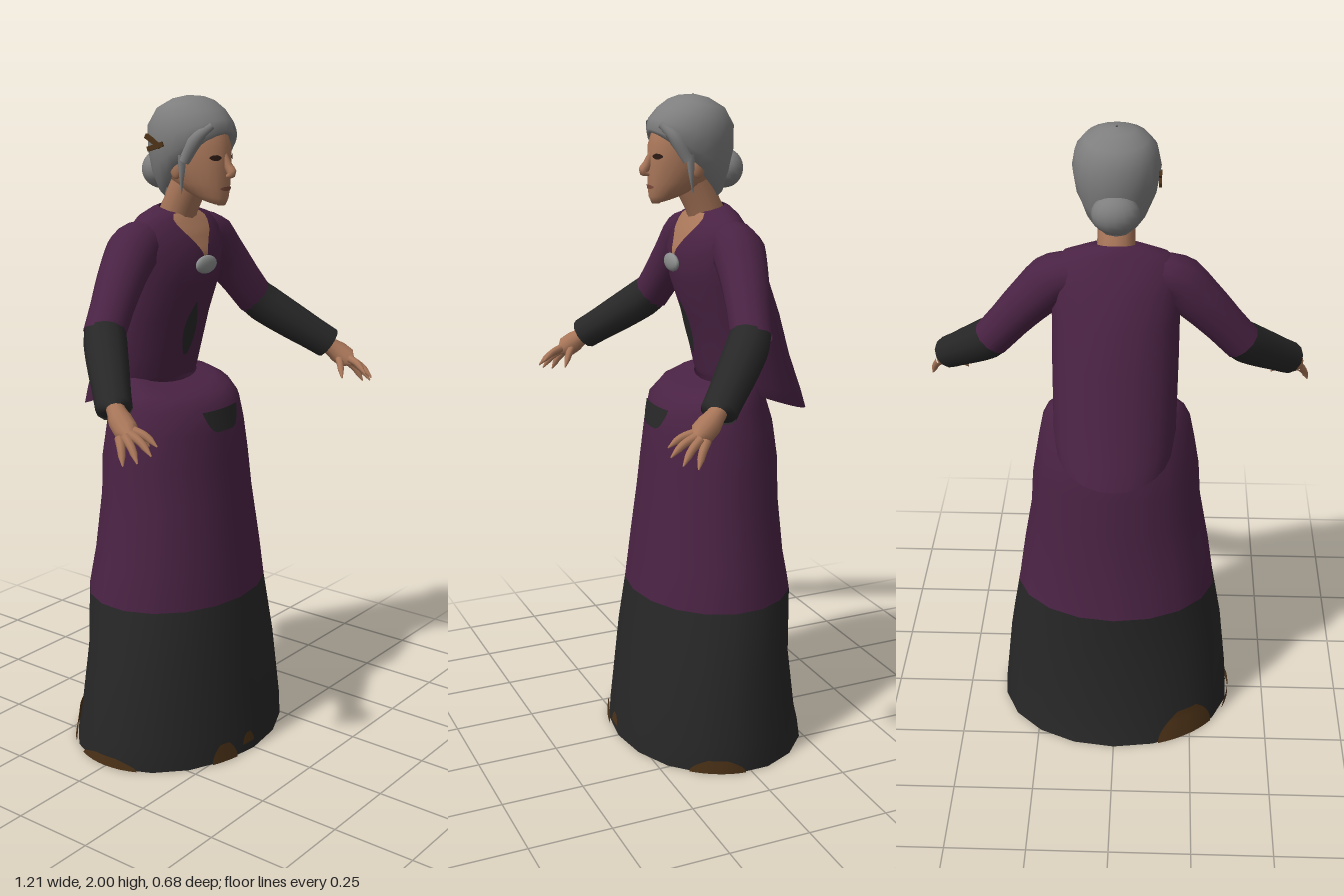
import * as THREE from 'three';

const flat = (name, color, side = THREE.FrontSide) => {
  const m = new THREE.MeshStandardMaterial({ color, side });
  m.name = name;
  return m;
};
const V = (p) => new THREE.Vector3(...p);
const { lerp } = THREE.MathUtils;

// Each ring is [front y, back y, front z, back z, half width]
const ringPoint = ([yF, yB, zF, zB, rx], a, out = 0) => {
  const c = Math.cos(a);
  return [
    (rx + out) * Math.sin(a),
    lerp(yB, yF, (1 + c) / 2),
    (zF + zB) / 2 + ((zF - zB) / 2 + out) * c,
  ];
};

// Grid of points turned into a smooth surface
function gridGeometry(rows, wrap) {
  const n = rows[0].length, idx = [];
  for (let i = 0; i < rows.length - 1; i++) {
    for (let j = 0; j < (wrap ? n : n - 1); j++) {
      const k = (j + 1) % n;
      const a = i * n + j, b = i * n + k, c = b + n, d = a + n;
      idx.push(a, b, c, a, c, d);
    }
  }
  const g = new THREE.BufferGeometry();
  g.setAttribute('position', new THREE.Float32BufferAttribute(rows.flat(2), 3));
  g.setIndex(idx);
  g.computeVertexNormals();
  return g;
}

const loft = (rings, segs) => gridGeometry(rings.map((r) =>
  Array.from({ length: segs }, (_, j) => ringPoint(r, (j / segs) * Math.PI * 2))), true);

// Point on a lofted surface at angle a and height y, pushed outwards
function onSurface(rings, a, y, out) {
  let i = 0;
  while (i < rings.length - 2 && ringPoint(rings[i + 1], a)[1] < y) i++;
  const p = ringPoint(rings[i], a, out), q = ringPoint(rings[i + 1], a, out);
  const t = (y - p[1]) / (q[1] - p[1]);
  return p.map((v, k) => lerp(v, q[k], t));
}

// Thin painted patch: angular half width depends on height fraction v
function patch(rings, angle, y0, y1, half, out = 0.005) {
  const rows = [];
  for (let i = 0; i <= 10; i++) {
    const v = i / 10, row = [];
    for (let j = -4; j <= 4; j++) {
      row.push(onSurface(rings, angle + (j / 4) * half(v), lerp(y0, y1, v), out));
    }
    rows.push(row);
  }
  return gridGeometry(rows, false);
}

// Tapered tube through points
function limb(points, radii, segs = 12, steps = 16) {
  const curve = new THREE.CatmullRomCurve3(points.map(V));
  const g = new THREE.TubeGeometry(curve, steps, 1, segs);
  const pos = g.attributes.position, nor = g.attributes.normal;
  for (let i = 0; i < pos.count; i++) {
    const t = Math.floor(i / (segs + 1)) / steps;
    const f = t * (radii.length - 1), k = Math.min(Math.floor(f), radii.length - 2);
    const r = lerp(radii[k], radii[k + 1], f - k);
    const c = curve.getPointAt(t);
    pos.setXYZ(i, c.x + nor.getX(i) * r, c.y + nor.getY(i) * r, c.z + nor.getZ(i) * r);
  }
  return g;
}

export function createModel() {
  const purple = flat('purpleCloth', 0x4a2344, THREE.DoubleSide);
  const dark = flat('darkCloth', 0x272727, THREE.DoubleSide);
  const skin = flat('skin', 0xa87659);
  const chestSkin = flat('chestSkin', 0xa87659, THREE.DoubleSide);
  const grey = flat('greyHair', 0x7e7e7e, THREE.DoubleSide);
  const silver = flat('silver', 0x8a8d8b);
  const brown = flat('brownLeather', 0x4c3217, THREE.DoubleSide);
  const lip = flat('lips', 0x7c4a3b);
  const eye = flat('eyes', 0x2c1a14);

  const model = new THREE.Group();
  const add = (name, geo, mat, parent = model) => {
    const m = new THREE.Mesh(geo, mat);
    m.name = name;
    parent.add(m);
    return m;
  };
  const blob = (name, mat, pos, size, parent = model) => {
    const m = add(name, new THREE.SphereGeometry(1, 16, 12), mat, parent);
    m.position.set(...pos);
    m.scale.set(...size);
    return m;
  };

  // Skirt with a dark lower band
  const hem = [
    [0, 0, 0.29, -0.305, 0.378],
    [0.08, 0.08, 0.283, -0.285, 0.376],
    [0.3, 0.3, 0.257, -0.258, 0.352],
    [0.495, 0.5, 0.232, -0.268, 0.318],
  ];
  const skirt = [
    hem[3],
    [0.62, 0.62, 0.216, -0.245, 0.3],
    [0.8, 0.8, 0.193, -0.23, 0.268],
    [0.92, 0.92, 0.178, -0.228, 0.26],
    [1.02, 1.02, 0.166, -0.215, 0.243],
    [1.09, 1.1, 0.15, -0.19, 0.228],
    [1.125, 1.16, 0.11, -0.165, 0.208],
    [1.14, 1.185, 0.06, -0.14, 0.18],
    [1.15, 1.2, 0.0, -0.12, 0.13],
  ];
  add('skirtHem', loft(hem, 18), dark);
  add('skirt', loft(skirt, 18), purple);
  add('skirtEmblem', patch(skirt, 0, 1.02, 1.085, (v) => 0.15 + 0.22 * Math.sqrt(v)), dark);

  // Worn brown patches on the hem: angle, bottom, top, half width
  [[-0.35, 0.002, 0.06, 0.13], [-0.08, 0.03, 0.065, 0.07], [-1.55, 0.002, 0.035, 0.36],
    [-2.45, 0.002, 0.1, 0.3], [1.2, 0.002, 0.045, 0.28]].forEach(([a, y0, y1, w]) =>
    add('hemPatch', patch(hem, a, y0, y1, (v) => w * (1 - 0.65 * v * v)), brown));

  // Boots in a walking stance
  [[-0.11, 0.13], [0.15, -0.12]].forEach(([x, z]) => {
    blob('boot', brown, [x, 0.042, z], [0.045, 0.04, 0.12]);
    add('bootShaft', limb([[x, 0.04, z - 0.05], [x, 0.2, z - 0.06]], [0.042, 0.045]), brown);
  });

  // Jacket with a long flared back
  const jacket = [
    [1.165, 1.035, 0.0, -0.342, 0.172],
    [1.18, 1.1, 0.005, -0.32, 0.18],
    [1.25, 1.22, 0.02, -0.275, 0.182],
    [1.35, 1.35, 0.045, -0.238, 0.184],
    [1.46, 1.47, 0.082, -0.195, 0.185],
    [1.55, 1.56, 0.085, -0.158, 0.193],
    [1.61, 1.62, 0.058, -0.12, 0.188],
    [1.645, 1.66, 0.035, -0.095, 0.15],
    [1.665, 1.68, 0.02, -0.08, 0.085],
    [1.665, 1.685, 0.01, -0.07, 0.055],
  ];
  add('jacket', loft(jacket, 24), purple);
  add('neckline', patch(jacket, 0, 1.53, 1.663, (v) => 0.03 + 0.62 * v ** 1.6), chestSkin);
  add('jacketEmblem', patch(jacket, -0.06, 1.235, 1.4,
    (v) => 0.15 * Math.sin(Math.PI * Math.min(0.98, v * 0.88 + 0.1))), dark);
  blob('brooch', silver, [-0.003, 1.515, 0.094], [0.048, 0.027, 0.014]);

  // Arms, mirrored
  for (const s of [1, -1]) {
    const arm = new THREE.Group();
    arm.name = s > 0 ? 'leftArm' : 'rightArm';
    arm.scale.x = s;
    model.add(arm);
    add('sleeve', limb([[0.1, 1.585, -0.04], [0.165, 1.575, -0.038], [0.235, 1.51, -0.028], [0.37, 1.35, 0.01]],
      [0.06, 0.078, 0.07, 0.063, 0.06]), purple, arm);
    add('cuff', limb([[0.35, 1.372, 0.0], [0.385, 1.335, 0.03], [0.53, 1.2, 0.185], [0.531, 1.199, 0.186]],
      [0.058, 0.062, 0.06, 0.057, 0.053, 0.051]), dark, arm);
    add('cuffEnd', limb([[0.528, 1.202, 0.183], [0.531, 1.199, 0.186]], [0.05, 0.001]), dark, arm);
    add('palm', limb([[0.515, 1.21, 0.17], [0.54, 1.175, 0.215], [0.552, 1.15, 0.25], [0.56, 1.135, 0.272]],
      [0.025, 0.027, 0.034, 0.034, 0.004]), skin, arm);
    // Four fingers and a thumb: base, tip
    [[[0.572, 1.138, 0.24], [0.604, 1.072, 0.278]], [[0.567, 1.143, 0.255], [0.588, 1.082, 0.315]],
      [[0.555, 1.148, 0.262], [0.558, 1.1, 0.338]], [[0.543, 1.155, 0.262], [0.526, 1.118, 0.332]],
      [[0.533, 1.165, 0.225], [0.486, 1.1, 0.272]]].forEach(([a, b]) => {
      const mid = a.map((v, k) => (v + b[k]) / 2 + (k === 1 ? 0.008 : 0));
      add('finger', limb([a, mid, b], [0.014, 0.012, 0.01, 0.002], 8, 9), skin, arm);
    });
  }

  // Neck and head
  add('neck', limb([[0, 1.58, -0.04], [0, 1.66, -0.015], [0, 1.78, 0.045]], [0.062, 0.054, 0.054]), skin);
  const head = [
    [1.69, 1.72, 0.135, 0.09, 0.004],
    [1.692, 1.725, 0.155, 0.04, 0.034],
    [1.712, 1.74, 0.164, 0.0, 0.05],
    [1.75, 1.765, 0.165, -0.03, 0.068],
    [1.8, 1.8, 0.166, -0.05, 0.079],
    [1.86, 1.86, 0.162, -0.06, 0.086],
    [1.92, 1.92, 0.142, -0.06, 0.08],
    [1.965, 1.965, 0.09, -0.03, 0.05],
  ];
  add('head', loft(head, 24), skin);
  add('nose', limb([[0, 1.84, 0.155], [0, 1.805, 0.17], [0, 1.785, 0.182], [0, 1.775, 0.162]],
    [0.008, 0.012, 0.015, 0.004], 10), skin);
  add('mouth', patch(head, 0, 1.735, 1.747, (v) => 0.4 * Math.sin(Math.PI * (0.15 + 0.7 * v)), 0.003), lip);
  for (const s of [1, -1]) {
    add('eye', patch(head, s * 0.48, 1.822, 1.838, (v) => 0.2 * Math.sin(Math.PI * (0.1 + 0.8 * v)), 0.003), eye);
    blob('ear', skin, [s * 0.085, 1.8, 0.045], [0.012, 0.033, 0.02]);
  }

  // Hair cap, bun and loose strands
  add('hair', loft([
    [1.895, 1.7, 0.14, -0.045, 0.08],
    [1.895, 1.715, 0.155, -0.06, 0.1],
    [1.905, 1.77, 0.164, -0.08, 0.117],
    [1.935, 1.84, 0.156, -0.093, 0.125],
    [1.965, 1.91, 0.128, -0.095, 0.116],
    [1.988, 1.96, 0.095, -0.068, 0.09],
    [1.998, 1.99, 0.065, -0.02, 0.05],
    [2.0, 2.0, 0.03, 0.02, 0.004],
  ], 20), grey);
  blob('bun', grey, [0, 1.785, -0.075], [0.068, 0.058, 0.055]);
  for (const s of [1, -1]) {
    add('templeHair', limb([[s * 0.045, 1.92, 0.142], [s * 0.08, 1.885, 0.115], [s * 0.092, 1.82, 0.08]],
      [0.012, 0.022, 0.016]), grey);
    add('strand', limb([[s * 0.095, 1.84, 0.075], [s * 0.09, 1.78, 0.07], [s * 0.078, 1.725, 0.06]],
      [0.014, 0.008, 0.001], 6), grey);
  }

  // Hair comb on the right side
  [[1.875, -0.01, 0.5], [1.86, 0.0, -0.3]].forEach(([y, z, tilt]) => {
    const comb = add('hairComb', new THREE.BoxGeometry(0.009, 0.014, 0.06), brown);
    comb.position.set(-0.122, y, z);
    comb.rotation.x = tilt;
  });
  return model;
}
